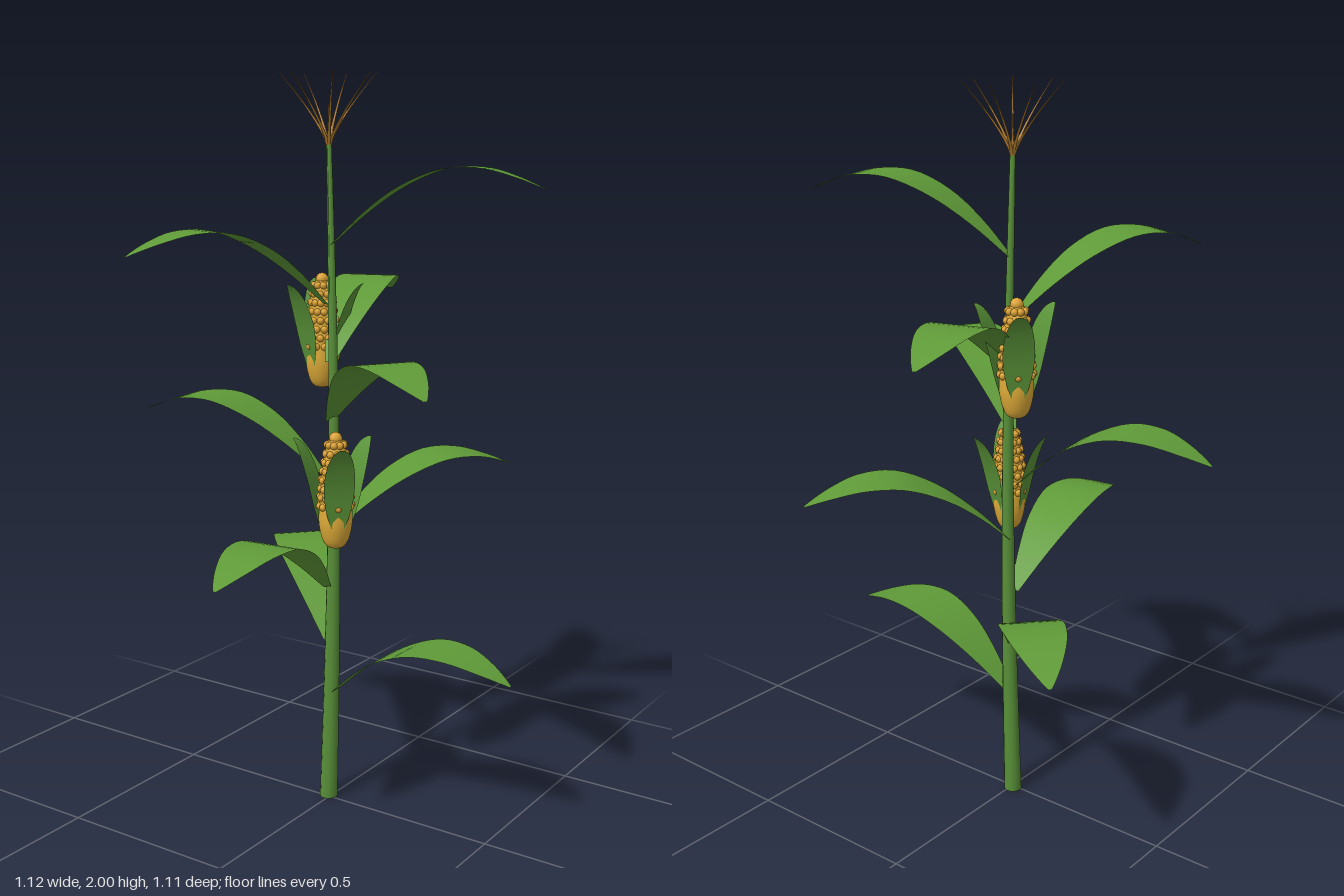
import * as THREE from 'three';
import { mergeGeometries } from 'three/addons/utils/BufferGeometryUtils.js';

const material = (name, color, side = THREE.FrontSide) => {
  const m = new THREE.MeshStandardMaterial({ color, side });
  m.name = name;
  return m;
};

const AXIS_X = -0.007, AXIS_Z = -0.007;
const STEM_TOP = 1.83;
const GOLDEN_ANGLE = 2.4;

// sideways sway of the stem at height y
const sway = y => Math.sin(Math.PI * Math.min(y / STEM_TOP, 1));

function mesh(name, geometry, mat) {
  const m = new THREE.Mesh(geometry, mat);
  m.name = name;
  return m;
}

// Blade growing along +x: rows of [reach, height, half width], smoothed by splines
function bladeGeometry(rows, steps) {
  const path = new THREE.CatmullRomCurve3(rows.map(r => new THREE.Vector3(...r)));
  const pos = [], index = [];
  for (let i = 0; i <= steps; i++) {
    const p = path.getPoint(i / steps);
    const w = Math.max(p.z, 0.002);
    for (const s of [-1, 0, 1]) pos.push(p.x, p.y, s * w);
    if (i === steps) break;
    for (let j = 0; j < 2; j++) {
      const a = i * 3 + j, b = a + 3;
      index.push(a, a + 1, b, a + 1, b + 1, b);
    }
  }
  const g = new THREE.BufferGeometry();
  g.setAttribute('position', new THREE.Float32BufferAttribute(pos, 3));
  g.setIndex(index);
  g.computeVertexNormals();
  return g;
}

// Tapered rod bent outward along +x
function strandGeometry(height, reach) {
  const g = new THREE.CylinderGeometry(0.0012, 0.005, height, 6, 8);
  g.translate(0, height / 2, 0);
  const p = g.attributes.position;
  for (let i = 0; i < p.count; i++) {
    p.setX(i, p.getX(i) + reach * Math.pow(p.getY(i) / height, 1.3));
  }
  g.computeVertexNormals();
  return g;
}

export function createModel() {
  const model = new THREE.Group();
  model.name = 'cornPlant';

  const stemGreen = material('stem green', 0x588f38);
  const leafGreen = material('leaf green', 0x5f9a38, THREE.DoubleSide);
  const huskGreen = material('husk green', 0x5a9338, THREE.DoubleSide);
  const cobYellow = material('cob yellow', 0xdeab38);
  const kernelGold = material('kernel gold', 0xdca232);
  const tasselBrown = material('tassel brown', 0xb07c30);

  // Stem, tapered and gently swaying
  const stem = new THREE.CylinderGeometry(0.007, 0.025, STEM_TOP, 12, 20);
  stem.translate(0, STEM_TOP / 2, 0);
  const sp = stem.attributes.position;
  for (let i = 0; i < sp.count; i++) {
    const s = sway(sp.getY(i));
    sp.setX(i, sp.getX(i) + AXIS_X + 0.014 * s);
    sp.setZ(i, sp.getZ(i) + AXIS_Z - 0.004 * s);
  }
  stem.computeVertexNormals();
  model.add(mesh('stem', stem, stemGreen));

  // Arching leaves in a golden-angle spiral
  const leaf = bladeGeometry([
    [0.008, 0, 0.013], [0.1, 0.085, 0.046], [0.2, 0.155, 0.073], [0.31, 0.198, 0.085],
    [0.41, 0.199, 0.073], [0.49, 0.177, 0.046], [0.54, 0.157, 0.021], [0.566, 0.145, 0.005],
  ], 28);
  for (let i = 0; i < 9; i++) {
    const m = mesh('leaf', leaf, leafGreen);
    m.position.set(AXIS_X, 0.31 + i * 0.1565, AXIS_Z);
    m.rotation.y = i * GOLDEN_ANGLE;
    model.add(m);
  }

  // Ear parts: cob body, kernels and three open husk leaves
  const cob = new THREE.LatheGeometry(new THREE.SplineCurve([
    [0, 0], [0.02, 0.002], [0.034, 0.02], [0.044, 0.06], [0.045, 0.1],
    [0.041, 0.17], [0.034, 0.23], [0.022, 0.285], [0, 0.305],
  ].map(p => new THREE.Vector2(...p))).getPoints(24).map(p => new THREE.Vector2(Math.max(p.x, 0), p.y)), 20);

  const bumps = [];
  for (let row = 0; row < 8; row++) {
    const y = 0.115 + row * 0.0235;
    const r = 0.042 - 0.02 * Math.pow(row / 7, 1.6);
    const count = row < 6 ? 12 : 9;
    for (let k = 0; k < count; k++) {
      const a = (k + (row % 2) / 2) / count * Math.PI * 2;
      const g = new THREE.SphereGeometry(0.0105, 8, 6);
      g.translate(Math.cos(a) * r, y, Math.sin(a) * r);
      bumps.push(g);
    }
  }
  const tip = new THREE.SphereGeometry(0.018, 10, 8);
  tip.translate(0, 0.295, 0);
  bumps.push(tip);
  const kernels = mergeGeometries(bumps);

  const husk = bladeGeometry([
    [0.038, 0.045, 0.012], [0.048, 0.11, 0.033], [0.062, 0.18, 0.041],
    [0.086, 0.245, 0.033], [0.106, 0.278, 0.018], [0.118, 0.288, 0.006],
  ], 14);

  for (const [x, y, z] of [[0.072, 0.77, 0.077], [-0.087, 1.165, -0.092]]) {
    const ear = new THREE.Group();
    ear.name = 'ear';
    ear.position.set(x, y, z);
    ear.rotation.y = -Math.atan2(z, x);
    ear.add(mesh('cob', cob, cobYellow), mesh('kernels', kernels, kernelGold));
    for (let k = 0; k < 3; k++) {
      const h = mesh('huskLeaf', husk, huskGreen);
      h.rotation.y = k * Math.PI * 2 / 3;
      ear.add(h);
    }
    model.add(ear);
  }

  // Tassel of seven spreading strands around a short spike
  const tassel = new THREE.Group();
  tassel.name = 'tassel';
  tassel.position.set(AXIS_X, 1.81, AXIS_Z);
  const strand = strandGeometry(0.19, 0.13);
  for (let i = 0; i < 7; i++) {
    const s = mesh('tasselStrand', strand, tasselBrown);
    s.rotation.y = i * Math.PI * 2 / 7;
    tassel.add(s);
  }
  tassel.add(mesh('tasselSpike', strandGeometry(0.11, 0), tasselBrown));
  model.add(tassel);

  return model;
}
